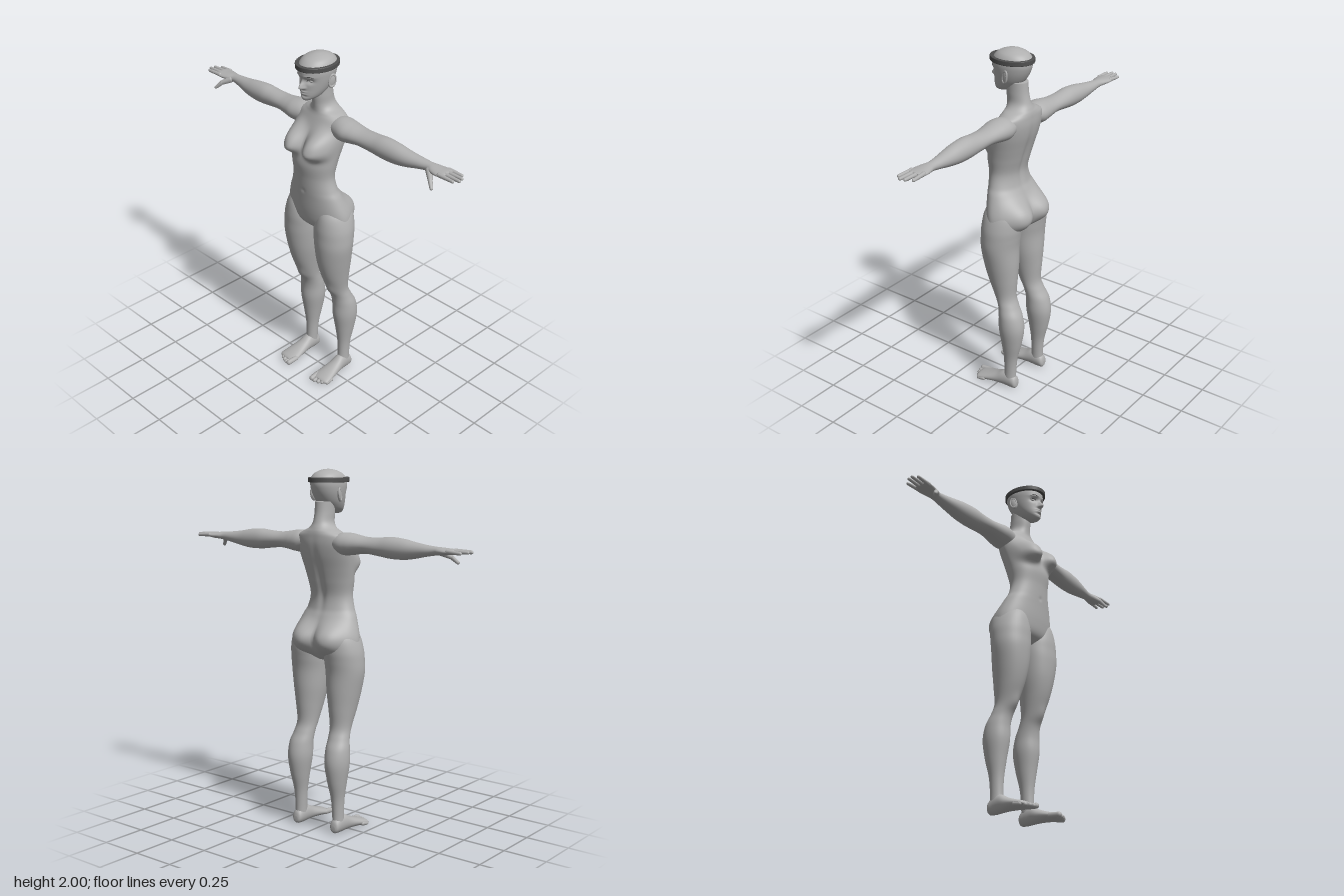
import * as THREE from 'three';

const skin = new THREE.MeshStandardMaterial({ color: 0xb0b0b0 });
skin.name = 'body grey';
const dark = new THREE.MeshStandardMaterial({ color: 0x505050 });
dark.name = 'dark grey';

const cubic = (a, b, c, d, t) =>
  b + 0.5 * t * (c - a + t * (2 * a - 5 * b + 4 * c - d + t * (3 * (b - c) + d - a)));

// Smooth closed skin through elliptical sections [t, a0, a1, b0, b1]; map places (t, a, b) in space
function loft(rows, map, sides = 32, steps = 6, shape = null) {
  const pos = [], idx = [], rings = (rows.length - 1) * steps + 1;
  const row = i => rows[Math.max(0, Math.min(rows.length - 1, i))];
  for (let r = 0; r < rings; r++) {
    const i = Math.min(Math.floor(r / steps), rows.length - 2), t = r / steps - i;
    const [h, a0, a1, b0, b1] = row(i).map((_, k) =>
      cubic(row(i - 1)[k], row(i)[k], row(i + 1)[k], row(i + 2)[k], t));
    for (let s = 0; s < sides; s++) {
      const u = (s / sides) * Math.PI * 2;
      const p = map(h, (a0 + a1) / 2 + Math.cos(u) * (a1 - a0) / 2, (b0 + b1) / 2 + Math.sin(u) * (b1 - b0) / 2);
      if (shape) shape(p, Math.sin(u));
      pos.push(p.x, p.y, p.z);
      if (r < rings - 1) {
        const a = r * sides + s, b = r * sides + (s + 1) % sides;
        idx.push(a, b, a + sides, b, b + sides, a + sides);
      }
    }
  }
  // rounded-off ends
  for (const [r, flip] of [[0, true], [rings - 1, false]]) {
    const c = new THREE.Vector3(), n = pos.length / 3;
    for (let s = 0; s < sides; s++) c.add(new THREE.Vector3().fromArray(pos, (r * sides + s) * 3));
    c.divideScalar(sides);
    pos.push(c.x, c.y, c.z);
    for (let s = 0; s < sides; s++) {
      const a = r * sides + s, b = r * sides + (s + 1) % sides;
      idx.push(...(flip ? [b, a, n] : [a, b, n]));
    }
  }
  const g = new THREE.BufferGeometry();
  g.setAttribute('position', new THREE.Float32BufferAttribute(pos, 3));
  g.setIndex(idx);
  return faceOut(g);
}

// Turn all faces outward, judged by signed volume
function faceOut(g) {
  const p = g.attributes.position, ix = g.index.array, v = [0, 1, 2].map(() => new THREE.Vector3());
  let vol = 0;
  for (let i = 0; i < ix.length; i += 3) {
    v.forEach((q, k) => q.fromBufferAttribute(p, ix[i + k]));
    vol += v[0].dot(v[1].clone().cross(v[2]));
  }
  if (vol < 0) for (let i = 0; i < ix.length; i += 3) [ix[i], ix[i + 1]] = [ix[i + 1], ix[i]];
  g.computeVertexNormals();
  return g;
}

// Tapered round digit between two points
function digit(a, b, r0, r1) {
  const A = new THREE.Vector3(...a), d = new THREE.Vector3(...b).sub(A), len = d.length();
  const pts = [];
  for (let i = 0; i <= 5; i++) pts.push(new THREE.Vector2(r0 * Math.sin(i * Math.PI / 10), -r0 * Math.cos(i * Math.PI / 10)));
  for (let i = 0; i <= 5; i++) pts.push(new THREE.Vector2(r1 * Math.cos(i * Math.PI / 10), len - r1 + r1 * Math.sin(i * Math.PI / 10)));
  const g = new THREE.LatheGeometry(pts, 12);
  g.applyQuaternion(new THREE.Quaternion().setFromUnitVectors(new THREE.Vector3(0, 1, 0), d.normalize()));
  return g.translate(A.x, A.y, A.z);
}

const alongY = (h, a, b) => new THREE.Vector3(a, h, b);
const alongX = (h, a, b) => new THREE.Vector3(h, a, b);
const alongZ = (h, a, b) => new THREE.Vector3(a, b, h);
const even = ([y, w, zb, zf]) => [y, -w, w, zb, zf];
const bell = (x, y, sx, sy, k = 1) => Math.exp(-Math.pow((x / sx) ** 2 + (y / sy) ** 2, k));

export function createModel() {
  const model = new THREE.Group();
  model.name = 'figure';
  const add = (name, g, mat = skin) => {
    const m = new THREE.Mesh(g, mat);
    m.name = name;
    model.add(m);
  };
  const pair = (name, g, mat) => {
    add('left ' + name, g, mat);
    add('right ' + name, faceOut(g.clone().scale(-1, 1, 1)), mat);
  };

  // Torso and neck
  const torso = [
    [0.965, 0.06, -0.06, 0.01], [0.99, 0.15, -0.09, 0.05], [1.03, 0.205, -0.115, 0.085],
    [1.1, 0.208, -0.12, 0.1], [1.2, 0.173, -0.085, 0.108], [1.25, 0.148, -0.066, 0.112],
    [1.32, 0.131, -0.06, 0.117], [1.4, 0.141, -0.08, 0.125], [1.47, 0.152, -0.1, 0.11],
    [1.54, 0.163, -0.12, 0.085], [1.6, 0.168, -0.13, 0.055], [1.645, 0.16, -0.13, 0.035],
    [1.67, 0.118, -0.127, 0.026], [1.69, 0.075, -0.12, 0.024], [1.72, 0.053, -0.108, 0.026],
    [1.77, 0.05, -0.096, 0.032], [1.83, 0.05, -0.09, 0.03],
  ].map(even);
  add('torso', loft(torso, alongY, 96, 8, (p, s) => {
    const x = Math.abs(p.x), up = p.y - 1.5;
    const front = THREE.MathUtils.smoothstep(s, 0, 0.4), back = THREE.MathUtils.smoothstep(-s, 0, 0.4);
    p.z += front * 0.076 * bell(x - 0.085, up, 0.066, up > 0 ? 0.088 : 0.052, 1.5);
    p.z -= back * 0.06 * bell(x - 0.095, p.y - 1.09, 0.085, 0.085, 1.4);
    p.z += back * 0.012 * bell(x, p.y - 1.4, 0.022, 0.16);
    p.z -= front * 0.004 * bell(x, p.y - 1.235, 0.01, 0.012);
  }));

  // Legs, with a soft kneecap
  pair('leg', loft([
    [1.16, 0.06, 0.165, -0.09, 0.06], [1.1, 0.03, 0.203, -0.12, 0.088], [1.03, 0.007, 0.225, -0.125, 0.1],
    [0.97, 0.005, 0.231, -0.118, 0.102], [0.9, 0.011, 0.23, -0.11, 0.102], [0.8, 0.022, 0.213, -0.11, 0.09],
    [0.7, 0.04, 0.194, -0.105, 0.064], [0.6, 0.057, 0.178, -0.1, 0.022], [0.54, 0.062, 0.184, -0.12, -0.004],
    [0.48, 0.063, 0.197, -0.15, -0.014], [0.4, 0.064, 0.2, -0.164, -0.015], [0.3, 0.08, 0.186, -0.15, -0.03],
    [0.2, 0.096, 0.17, -0.126, -0.043], [0.11, 0.102, 0.165, -0.118, -0.045], [0.04, 0.104, 0.166, -0.118, -0.04],
  ], alongY, 40, 6, (p, s) => { if (s > 0) p.z += 0.01 * s * bell(p.x - 0.118, p.y - 0.6, 0.035, 0.04); }));

  // Feet
  pair('foot', loft([
    [-0.13, 0.122, 0.148, 0.018, 0.045], [-0.12, 0.108, 0.163, 0.004, 0.075], [-0.085, 0.102, 0.168, 0, 0.1],
    [-0.045, 0.099, 0.173, 0.002, 0.1], [0, 0.095, 0.18, 0.004, 0.076], [0.05, 0.088, 0.19, 0.003, 0.057],
    [0.09, 0.083, 0.197, 0, 0.044], [0.118, 0.086, 0.196, 0.003, 0.034], [0.13, 0.098, 0.175, 0.008, 0.026],
  ], alongZ, 28, 5));
  for (let i = 0; i < 5; i++) {
    const x = 0.098 + i * 0.0225, r = i ? 0.0115 : 0.0155;
    pair('toe ' + (i + 1), digit([x, r + 0.006, 0.09 - i * 0.004], [x + 0.002, r, 0.16 - i * i * 0.0025], r, r));
  }

  // Arms and palms
  pair('arm', loft([
    [0.08, 1.58, 1.655, -0.1, 0.01], [0.14, 1.55, 1.669, -0.115, 0.03], [0.19, 1.55, 1.667, -0.113, 0.038],
    [0.24, 1.558, 1.659, -0.106, 0.03], [0.3, 1.564, 1.652, -0.1, 0.02], [0.38, 1.556, 1.655, -0.098, 0.015],
    [0.45, 1.548, 1.661, -0.098, 0.015], [0.53, 1.548, 1.655, -0.095, 0.01], [0.6, 1.558, 1.643, -0.09, 0],
    [0.67, 1.573, 1.634, -0.086, -0.016], [0.725, 1.583, 1.629, -0.083, -0.024], [0.76, 1.587, 1.627, -0.091, -0.012],
    [0.8, 1.59, 1.624, -0.1, -0.003], [0.835, 1.597, 1.622, -0.1, -0.003], [0.85, 1.602, 1.618, -0.094, -0.01],
  ], alongX, 32, 6));
  // Fingers and thumbs
  [[0.916, 0], [0.936, -0.026], [0.93, -0.053], [0.905, -0.084]].forEach(([tip, dz], i) => {
    const z = -0.014 - i * 0.025;
    pair('finger ' + (i + 1), digit([0.82, 1.61, z], [tip, 1.61 - (i === 3 ? 0.004 : 0), dz - 0.01], 0.0118, 0.0085));
  });
  pair('thumb base', digit([0.745, 1.6, -0.03], [0.792, 1.572, 0.012], 0.019, 0.013));
  pair('thumb', digit([0.783, 1.577, 0.005], [0.817, 1.541, 0.03], 0.0125, 0.009));

  // Head with sculpted face
  const head = loft([
    [1.762, 0.016, 0.05, 0.094], [1.77, 0.031, 0.015, 0.104], [1.785, 0.048, -0.02, 0.107],
    [1.805, 0.061, -0.045, 0.106], [1.83, 0.072, -0.07, 0.105], [1.86, 0.081, -0.09, 0.106],
    [1.89, 0.087, -0.104, 0.11], [1.92, 0.09, -0.112, 0.114], [1.95, 0.087, -0.11, 0.107],
    [1.975, 0.072, -0.09, 0.083], [1.99, 0.048, -0.06, 0.052], [1.998, 0.022, -0.03, 0.022], [2, 0.006, -0.01, 0.003],
  ].map(even), alongY, 128, 8, (p, s) => {
    if (s <= 0) return;
    const x = Math.abs(p.x), up = p.y - 1.84;
    p.z += 0.03 * bell(x, up, 0.013, up > 0 ? 0.028 : 0.011, 1.2);
    p.z += 0.005 * bell(x - 0.014, p.y - 1.838, 0.008, 0.008);
    p.z -= 0.013 * bell(x - 0.036, p.y - 1.876, 0.02, 0.014);
    p.z += 0.005 * bell(x - 0.035, p.y - 1.899, 0.03, 0.008);
    p.z += 0.007 * (bell(x, p.y - 1.815, 0.02, 0.005) + bell(x, p.y - 1.803, 0.018, 0.005));
    p.z -= 0.005 * bell(x, p.y - 1.79, 0.025, 0.006);
  });
  add('head', head);

  // Height of the face surface at a point, used to seat eyes and brows
  const hp = head.attributes.position;
  const faceZ = (x, y) => {
    let best = 1, z = 0;
    for (let i = 0; i < hp.count; i++) {
      const d = Math.hypot(hp.getX(i) - x, hp.getY(i) - y);
      if (hp.getZ(i) > 0 && d < best) { best = d; z = hp.getZ(i); }
    }
    return z;
  };
  const line = (pts, r) => new THREE.TubeGeometry(new THREE.CatmullRomCurve3(
    pts.map(([x, y]) => new THREE.Vector3(x, y, faceZ(x, y)))), 16, r, 6);
  pair('eye', new THREE.SphereGeometry(1, 20, 14).scale(0.015, 0.008, 0.01).translate(0.036, 1.876, faceZ(0.036, 1.876) - 0.004));
  pair('lash line', line([[0.021, 1.876], [0.03, 1.884], [0.042, 1.884], [0.053, 1.878]], 0.0018), dark);
  pair('eyebrow', line([[0.018, 1.897], [0.034, 1.903], [0.046, 1.904], [0.058, 1.897]], 0.0018), dark);

  // Ears
  pair('ear', new THREE.SphereGeometry(1, 20, 14).scale(0.009, 0.036, 0.021)
    .rotateX(-0.2).rotateY(-0.35).translate(0.086, 1.864, -0.014));
  pair('ear rim', new THREE.TorusGeometry(0.022, 0.005, 8, 24).scale(0.85, 1.45, 1)
    .rotateY(Math.PI / 2 - 0.35).rotateX(-0.2).translate(0.091, 1.866, -0.015));

  // Headband
  const ring = new THREE.Shape().absellipse(0, 0, 0.099, 0.123, 0, Math.PI * 2);
  ring.holes.push(new THREE.Path().absellipse(0, 0, 0.086, 0.108, 0, Math.PI * 2));
  add('headband', new THREE.ExtrudeGeometry(ring, {
    depth: 0.018, bevelSize: 0.003, bevelThickness: 0.004, bevelSegments: 3, curveSegments: 48,
  }).rotateX(-Math.PI / 2).translate(0, 1.934, 0.003), dark);

  return model;
}
